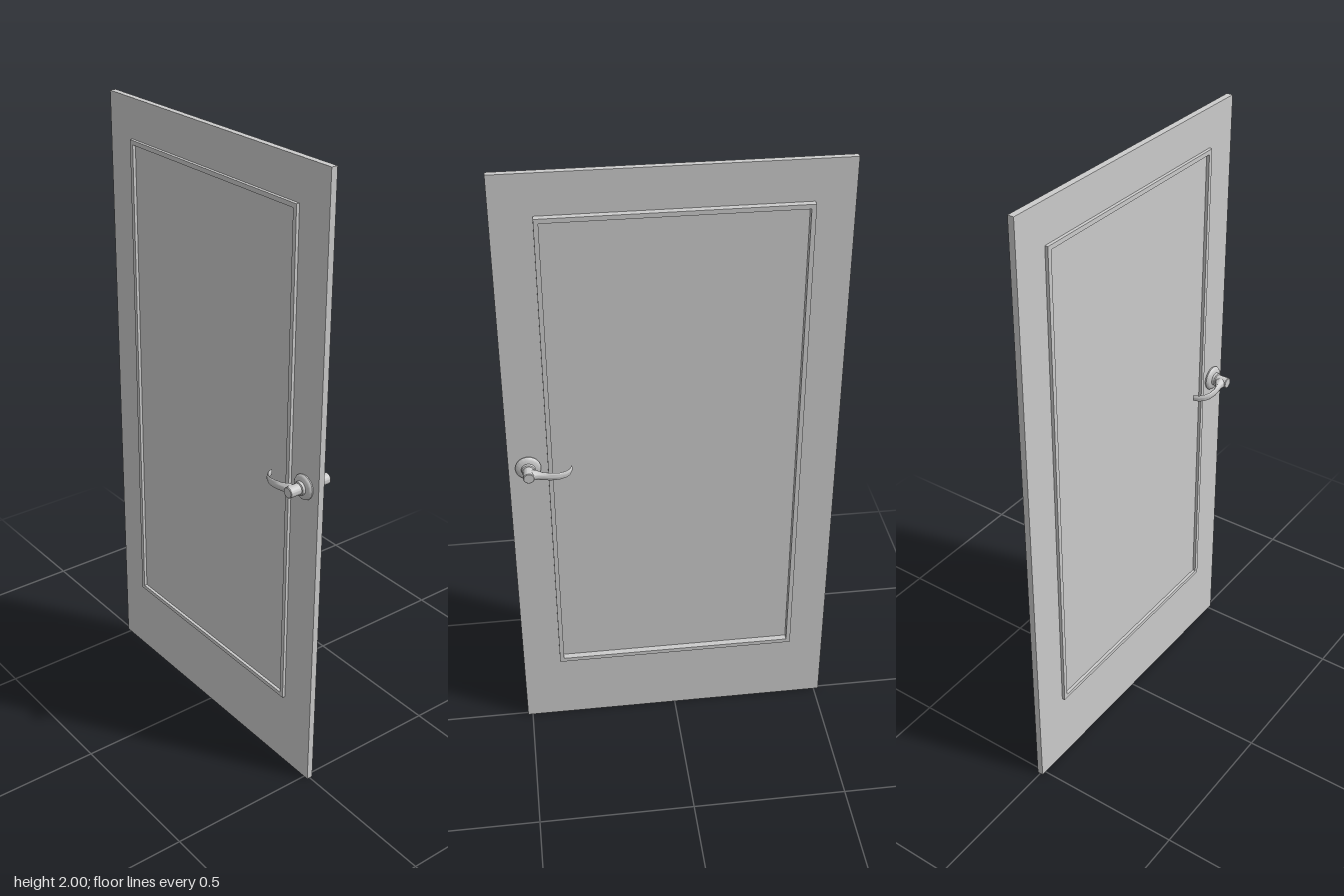
import * as THREE from 'three';
import { toCreasedNormals } from 'three/addons/utils/BufferGeometryUtils.js';

const grey = new THREE.MeshStandardMaterial({ color: 0xcccccc });

function part(name, geometry, parent) {
  const mesh = new THREE.Mesh(geometry, grey);
  mesh.name = name;
  parent.add(mesh);
  return mesh;
}

// Rectangular moulding, extruded from z0 to z1
function mouldingGeometry(x0, x1, y0, y1, width, z0, z1) {
  const corners = (i) => [[x0 + i, y0 + i], [x1 - i, y0 + i], [x1 - i, y1 - i], [x0 + i, y1 - i]]
    .map(([x, y]) => new THREE.Vector2(x, y));
  const shape = new THREE.Shape(corners(0));
  shape.holes.push(new THREE.Path(corners(width).reverse()));
  return new THREE.ExtrudeGeometry(shape, { depth: z1 - z0, bevelEnabled: false }).translate(0, 0, z0);
}

// Lever lofted through oval sections: outer x, z, inner x, z, half height, centre y
function leverGeometry() {
  const sections = [
    [0.457, 0.074, 0.457, 0.040, 0.015, 1.045],
    [0.440, 0.073, 0.440, 0.036, 0.015, 1.045],
    [0.427, 0.069, 0.427, 0.043, 0.014, 1.044],
    [0.410, 0.071, 0.414, 0.053, 0.0135, 1.043],
    [0.385, 0.0725, 0.388, 0.061, 0.013, 1.042],
    [0.360, 0.069, 0.364, 0.0625, 0.012, 1.041],
    [0.340, 0.059, 0.345, 0.055, 0.0115, 1.040],
    [0.327, 0.045, 0.331, 0.043, 0.011, 1.039],
    [0.320, 0.025, 0.323, 0.025, 0.010, 1.039],
  ];
  const n = 20, positions = [], index = [];
  for (const [xo, zo, xi, zi, h, y] of sections) {
    for (let j = 0; j < n; j++) {
      const a = (j / n) * Math.PI * 2;
      const c = Math.cos(a) / 2;
      positions.push((xo + xi) / 2 + c * (xo - xi), y + h * Math.sin(a), (zo + zi) / 2 + c * (zo - zi));
    }
  }
  for (let i = 0; i < sections.length - 1; i++) {
    for (let j = 0; j < n; j++) {
      const k = (j + 1) % n;
      const a = i * n + j, b = i * n + k;
      index.push(a, b, a + n, b, b + n, a + n);
    }
  }
  // Tip cap
  const last = (sections.length - 1) * n;
  for (let j = 1; j < n - 1; j++) index.push(last, last + j, last + j + 1);
  const geometry = new THREE.BufferGeometry();
  geometry.setAttribute('position', new THREE.Float32BufferAttribute(positions, 3));
  geometry.setIndex(index);
  return toCreasedNormals(geometry, 0.9);
}

// Round rose, collar and spindle hub turned about the z axis
function roseGeometry() {
  const profile = [
    [0, 0.008], [0.035, 0.008], [0.039, 0.012], [0.04, 0.016], [0.038, 0.020], [0.033, 0.024],
    [0.022, 0.026], [0.021, 0.034], [0.0175, 0.036], [0.0175, 0.073], [0.0155, 0.075], [0, 0.075],
  ].map(([r, z]) => new THREE.Vector2(r, z));
  const geometry = new THREE.LatheGeometry(profile, 36).rotateX(Math.PI / 2).translate(0.455, 1.045, 0);
  return toCreasedNormals(geometry, 0.7);
}

export function createModel() {
  const door = new THREE.Group();
  door.name = 'door';

  // Door leaf
  part('doorLeaf', new THREE.BoxGeometry(1.032, 2, 0.02).translate(0, 1, 0), door);

  // Raised moulding, standing proud of both faces
  part('panelMoulding', mouldingGeometry(-0.398, 0.394, 0.252, 1.874, 0.014, -0.031, 0.02), door);

  // Matching handles on the front and back
  const rose = roseGeometry();
  const lever = leverGeometry();
  for (const side of [1, -1]) {
    const handle = new THREE.Group();
    handle.name = side > 0 ? 'frontHandle' : 'backHandle';
    part('rose', rose, handle);
    part('lever', lever, handle);
    handle.scale.z = side;
    door.add(handle);
  }
  return door;
}
